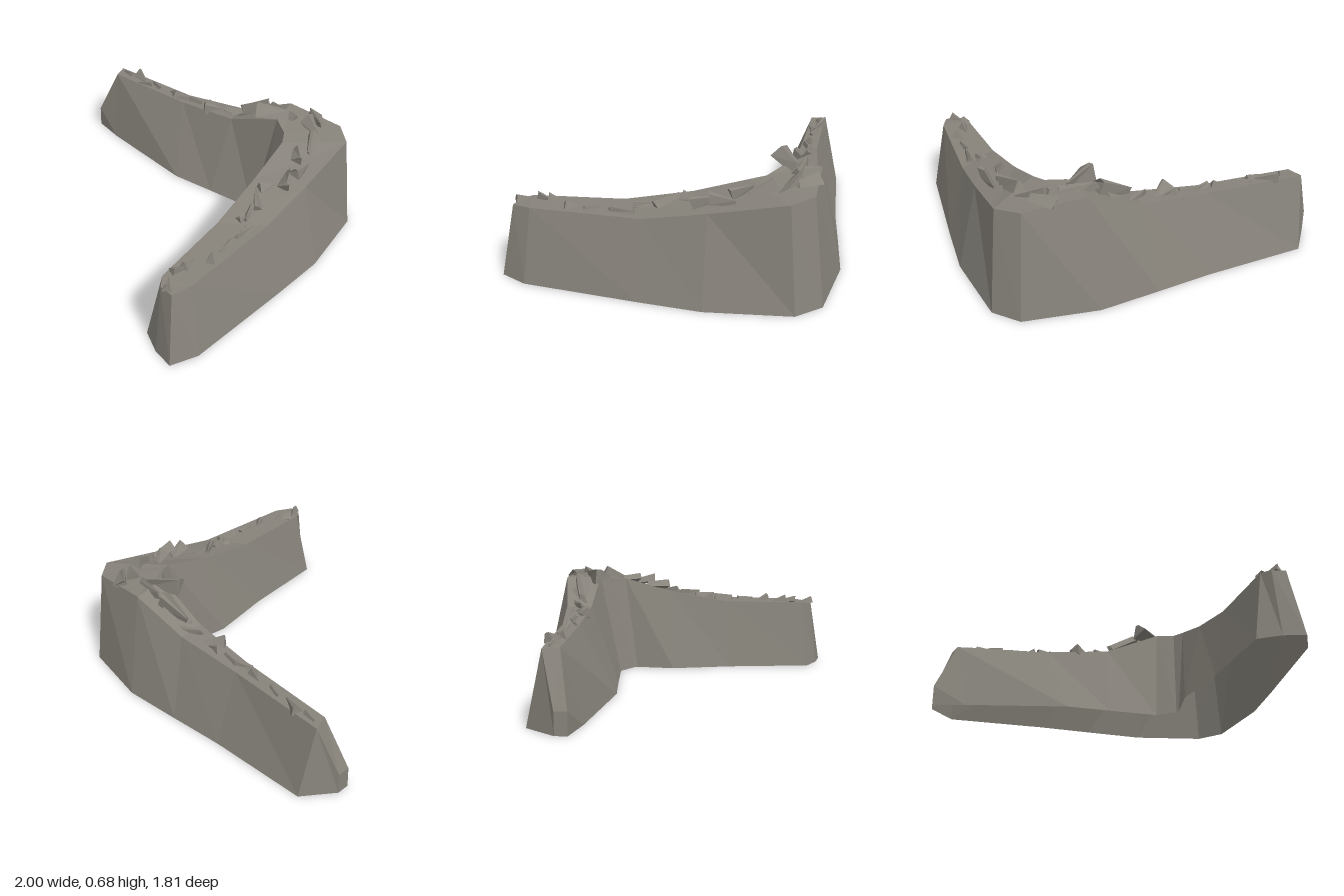
import * as THREE from 'three';

// Cross-sections along the bent wall:
// outer base x,z | crest height | outer top x,z | inner top x,z | inner base x,z
const SECTIONS = [
  [-1, -0.62, 0.13, -1, -0.62, -1, -0.55, -1, -0.55],
  [-0.87, -0.79, 0.43, -0.9, -0.69, -0.87, -0.6, -0.8, -0.5],
  [-0.28, -0.83, 0.44, -0.3, -0.69, -0.28, -0.59, -0.17, -0.4],
  [0.05, -0.87, 0.48, 0.1, -0.73, 0.12, -0.58, 0.1, -0.42],
  [0.4, -0.91, 0.62, 0.42, -0.78, 0.46, -0.57, 0.41, -0.44],
  [0.82, -0.85, 0.6, 0.77, -0.78, 0.56, -0.5, 0.52, -0.36],
  [0.94, -0.72, 0.59, 0.88, -0.67, 0.6, -0.42, 0.53, -0.34],
  [1, -0.25, 0.5, 0.88, -0.25, 0.62, -0.12, 0.5, -0.1],
  [0.98, 0.1, 0.43, 0.87, 0.1, 0.65, 0.25, 0.57, 0.28],
  [0.93, 0.75, 0.42, 0.85, 0.72, 0.69, 0.76, 0.62, 0.8],
  [0.86, 0.9, 0.41, 0.81, 0.83, 0.73, 0.82, 0.74, 0.87],
];
const ROCK_COUNT = 30;

function seeded(seed) {
  return () => {
    seed = (seed * 16807) % 2147483647;
    return seed / 2147483647;
  };
}

// Hollow shell through the sections, open underneath
function wallGeometry() {
  const pos = [];
  const index = [];
  for (const [ax, az, y, bx, bz, cx, cz, dx, dz] of SECTIONS) {
    pos.push(ax, 0, az, bx, y, bz, cx, y, cz, dx, 0, dz);
  }
  const last = (SECTIONS.length - 1) * 4;
  for (let i = 0; i < last; i += 4) {
    for (let j = i; j < i + 3; j++) {
      index.push(j, j + 1, j + 5, j, j + 5, j + 4);
    }
  }
  index.push(0, 3, 2, 0, 2, 1);
  index.push(last, last + 1, last + 2, last, last + 2, last + 3);
  const indexed = new THREE.BufferGeometry();
  indexed.setAttribute('position', new THREE.Float32BufferAttribute(pos, 3));
  indexed.setIndex(index);
  const geo = indexed.toNonIndexed();
  geo.computeVertexNormals();
  return geo;
}

// Sharp shard: a box pinched to a ridge on top and to a point at one end
function shardGeometry(length, height, width, random) {
  const corners = Array.from({ length: 8 }, () => [random(), random(), random()]);
  const geo = new THREE.BoxGeometry(1, 1, 1).toNonIndexed();
  const p = geo.attributes.position;
  for (let i = 0; i < p.count; i++) {
    const x = p.getX(i), y = p.getY(i), z = p.getZ(i);
    const r = corners[(x > 0 ? 1 : 0) + (y > 0 ? 2 : 0) + (z > 0 ? 4 : 0)];
    const ridge = y > 0 ? 0.2 : 1;
    const point = x > 0 ? 0.25 : 1;
    p.setXYZ(i,
      x * length * (1.1 - 0.3 * r[0]),
      y * height * (1.2 - 0.6 * r[1]) * (x > 0 && y > 0 ? 0.1 : 1),
      z * width * (1.2 - 0.4 * r[2]) * ridge * point);
  }
  geo.computeVertexNormals();
  return geo;
}

export function createModel() {
  const model = new THREE.Group();
  model.name = 'rockWallCorner';

  const stone = new THREE.MeshStandardMaterial({ color: 0x87837b, side: THREE.DoubleSide });
  stone.name = 'grey stone';

  const wall = new THREE.Mesh(wallGeometry(), stone);
  wall.name = 'cliffWall';
  model.add(wall);

  // Loose shards follow the middle of the crest and grow where it is higher
  const crest = new THREE.CatmullRomCurve3(SECTIONS.slice(1).map(
    ([, , y, bx, bz, cx, cz]) => new THREE.Vector3((bx + cx) / 2, y, (bz + cz) / 2)));
  const rocks = new THREE.Group();
  rocks.name = 'crestRocks';
  const random = seeded(417);
  const spread = (amount) => (random() - 0.5) * amount;
  for (let i = 0; i < ROCK_COUNT; i++) {
    const t = (i + 0.5) / ROCK_COUNT;
    const spot = crest.getPointAt(t);
    const along = crest.getTangentAt(t);
    const size = (0.11 + (spot.y - 0.42) * 0.38) * (0.75 + 0.5 * random());
    const rock = new THREE.Mesh(shardGeometry(size, size * 0.45, size * 0.55, random), stone);
    rock.name = `rock${i + 1}`;
    rock.position.set(
      spot.x + spread(size * 0.8),
      spot.y + size * 0.1,
      spot.z + spread(size * 0.8));
    const turn = random() < 0.5 ? 0 : Math.PI;
    rock.rotation.set(spread(1), Math.atan2(-along.z, along.x) + turn + spread(1.4), spread(0.7), 'YXZ');
    rocks.add(rock);
  }
  model.add(rocks);

  return model;
}
